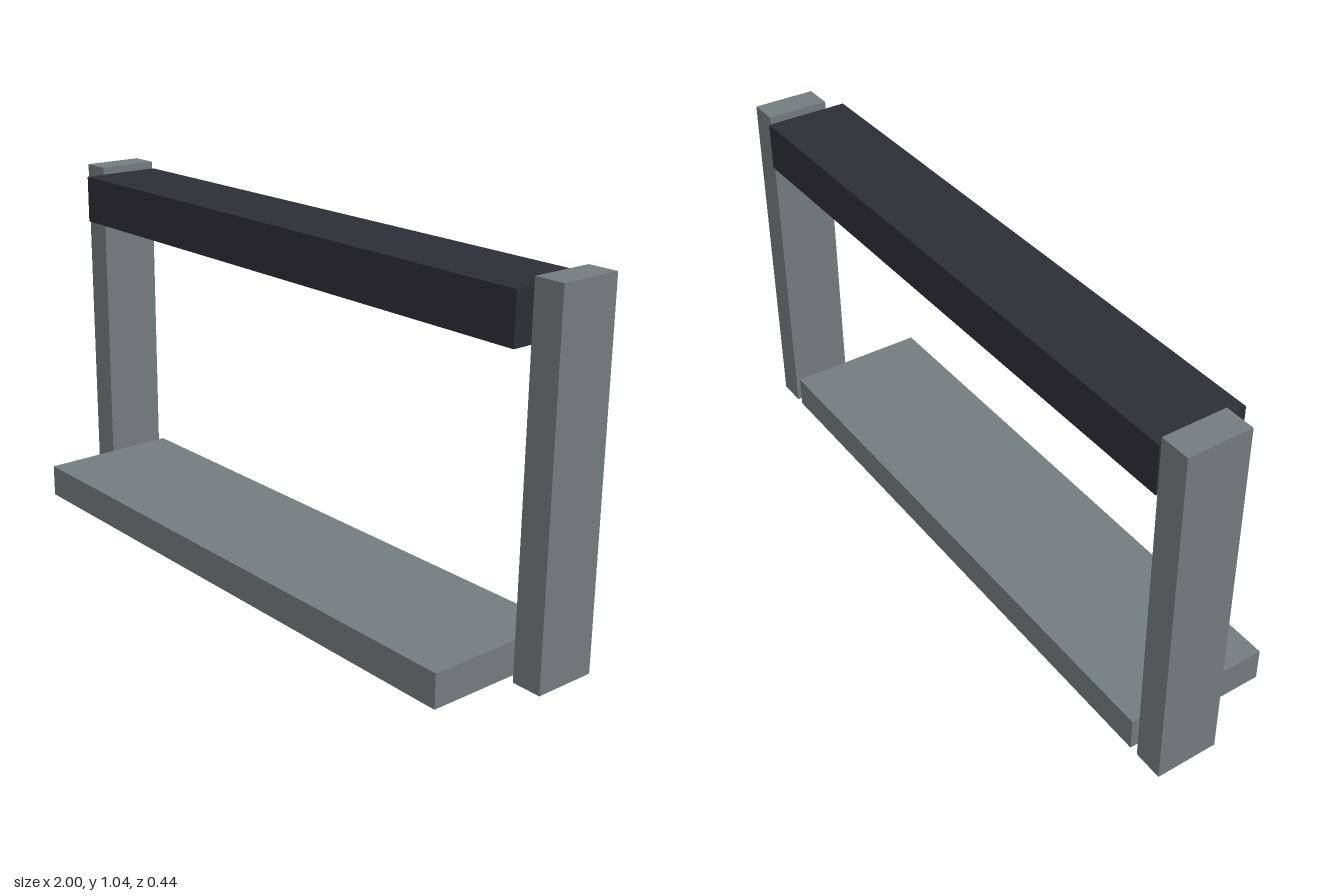
import * as THREE from 'three';

export function createModel() {
  const model = new THREE.Group();
  model.name = 'frame';

  const grey = new THREE.MeshStandardMaterial({ color: 0x757c7e });
  grey.name = 'grey';
  const charcoal = new THREE.MeshStandardMaterial({ color: 0x2d2d37 });
  charcoal.name = 'charcoal';

  // Box given by its lower and upper limits on each axis
  function addBox(name, material, [x0, x1], [y0, y1], [z0, z1]) {
    const mesh = new THREE.Mesh(new THREE.BoxGeometry(x1 - x0, y1 - y0, z1 - z0), material);
    mesh.position.set((x0 + x1) / 2, (y0 + y1) / 2, (z0 + z1) / 2);
    mesh.name = name;
    model.add(mesh);
  }

  // Upright posts
  addBox('leftPost', grey, [0.912, 1], [0, 1.042], [-0.213, -0.028]);
  addBox('rightPost', grey, [-1, -0.912], [0, 1.042], [-0.213, -0.028]);

  // Low base slab, just clear of the posts
  addBox('baseSlab', grey, [-0.886, 0.886], [0, 0.098], [-0.213, 0.218]);

  // Top beam between the posts
  addBox('topBeam', charcoal, [-0.912, 0.912], [0.878, 1.02], [-0.218, 0.031]);

  return model;
}
